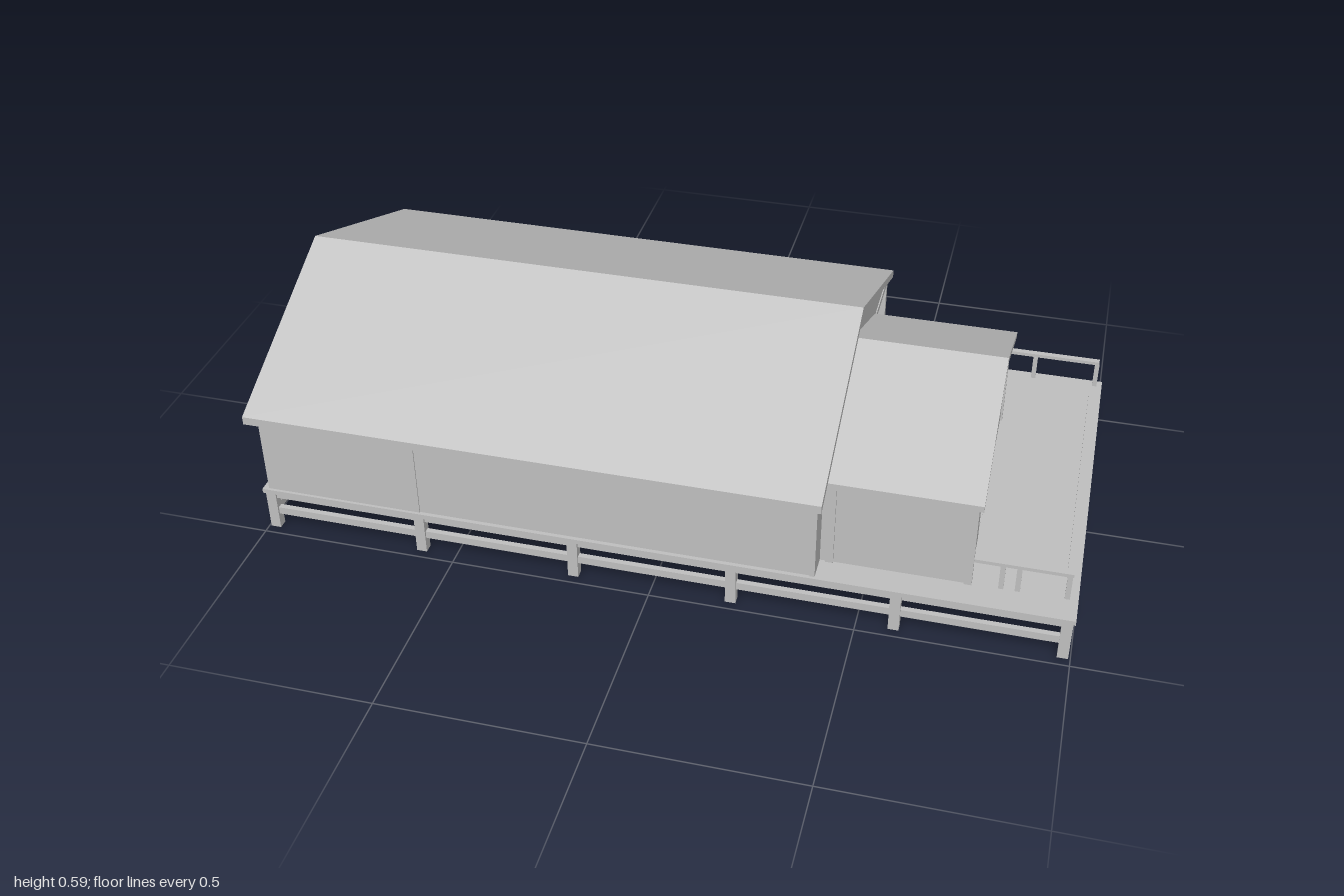
import * as THREE from 'three';

export function createModel() {
  const model = new THREE.Group();
  model.name = 'stiltHouse';
  const grey = new THREE.MeshStandardMaterial({ color: 0xc0c0c0, side: THREE.DoubleSide, flatShading: true });
  grey.name = 'plain grey';

  const add = (name, geometry, parent) => {
    const mesh = new THREE.Mesh(geometry, grey);
    mesh.name = name;
    parent.add(mesh);
    return mesh;
  };
  const group = (name) => {
    const g = new THREE.Group();
    g.name = name;
    model.add(g);
    return g;
  };
  // Box given by its minimum and maximum on each axis
  const box = (name, x0, x1, y0, y1, z0, z1, parent) =>
    add(name, new THREE.BoxGeometry(x1 - x0, y1 - y0, z1 - z0)
      .translate((x0 + x1) / 2, (y0 + y1) / 2, (z0 + z1) / 2), parent);
  const shapeOf = (pts, holes) => {
    const shape = new THREE.Shape(pts.map(([a, b]) => new THREE.Vector2(a, b)));
    for (const [a0, a1, b0, b1] of holes) {
      shape.holes.push(new THREE.Path([[a0, b0], [a0, b1], [a1, b1], [a1, b0]].map(([a, b]) => new THREE.Vector2(a, b))));
    }
    return shape;
  };
  // Section in (z, y) swept along x
  const sweepX = (name, pts, x0, x1, parent, holes = []) => {
    const shape = shapeOf(pts.map(([z, y]) => [-z, y]), holes.map(([a, b, c, d]) => [-b, -a, c, d]));
    const geo = new THREE.ExtrudeGeometry(shape, { depth: x1 - x0, bevelEnabled: false });
    return add(name, geo.rotateY(Math.PI / 2).translate(x0, 0, 0), parent);
  };
  // Wall in the x-y plane with openings
  const wallZ = (name, x0, x1, y0, y1, z0, z1, parent, holes = []) => {
    const shape = shapeOf([[x0, y0], [x1, y0], [x1, y1], [x0, y1]], holes);
    const geo = new THREE.ExtrudeGeometry(shape, { depth: z1 - z0, bevelEnabled: false });
    return add(name, geo.translate(0, 0, z0), parent);
  };
  const roof = (name, [zf, yf], [zr, yr], [zb, yb], t, x0, x1, parent) =>
    sweepX(name, [[zf, yf], [zr, yr], [zb, yb], [zb, yb - t], [zr, yr - t], [zf, yf - t]], x0, x1, parent);

  const FLOOR = 0.12;

  // Deck, rim beams and stilts
  const base = group('deckAndStilts');
  box('deckFloor', -1, 1, 0.108, FLOOR, -0.508, 0.482, base);
  const bands = [['rimBeam', 0.09, 0.108], ['lowerBrace', 0.04, 0.06]];
  for (const [name, y0, y1] of bands) {
    for (const z of [0.465, -0.485]) box(name, -0.985, 0.985, y0, y1, z - 0.007, z + 0.007, base);
    for (const x of [-0.982, 0.982]) box(name, x - 0.007, x + 0.007, y0, y1, -0.485, 0.465, base);
  }
  const stilt = (x, z) => box('stilt', x - 0.013, x + 0.013, 0, 0.108, z - 0.012, z + 0.012, base);
  for (let i = 0; i < 6; i++) {
    for (const z of [0.465, -0.485]) stilt(-0.982 + i * 0.3928, z);
  }
  for (const x of [-0.982, 0.982]) for (const z of [0.313, -0.01, -0.332]) stilt(x, z);

  // Main house
  const house = group('mainHouse');
  const t = 0.012;
  box('frontWallLeft', -0.98, -0.585, FLOOR, 0.36, 0.463, 0.475, house);
  box('frontWallRight', -0.585, 0.39, FLOOR, 0.36, 0.46, 0.472, house);
  wallZ('porchWall', -0.98, 0.39, FLOOR, 0.44, -0.334, -0.322, house, [
    [0.15, 0.26, 0.21, 0.32], [-0.4, -0.3, 0.21, 0.32], [-0.7, -0.6, 0.21, 0.32],
    [-0.21, -0.11, 0.121, 0.32],
  ]);
  box('porchDoor', -0.05, 0.05, FLOOR, 0.32, -0.338, -0.334, house);
  // Gable ends, carried out over the porch
  const gable = [[0.475, FLOOR], [0.475, 0.355], [0.03, 0.572], [-0.49, 0.368],
    [-0.49, 0.352], [-0.334, 0.352], [-0.334, FLOOR]];
  sweepX('gableWall', gable, -0.985, -0.985 + t, house);
  sweepX('gableWall', gable, 0.385, 0.385 + t, house);
  roof('mainRoof', [0.515, 0.362], [0.03, 0.593], [-0.515, 0.382], 0.021, -1, 0.412, house);

  // Porch posts with tie beams
  const porch = group('porch');
  for (const x of [-0.982, -0.545, -0.04, 0.392]) {
    box('porchPost', x - 0.009, x + 0.009, FLOOR, 0.365, -0.492, -0.474, porch);
    box('tieBeam', x - 0.008, x + 0.008, 0.35, 0.366, -0.492, -0.322, porch);
  }
  box('eaveBeam', -0.99, 0.4, 0.35, 0.366, -0.491, -0.475, porch);

  // Side wing with door and window openings
  const wing = group('sideWing');
  box('wingFrontWall', 0.397, 0.75, FLOOR, 0.37, 0.398, 0.41, wing);
  wallZ('wingBackWall', 0.397, 0.75, FLOOR, 0.37, -0.272, -0.26, wing, [[0.6, 0.71, 0.2, 0.32]]);
  sweepX('wingEndWall', [[0.41, FLOOR], [0.41, 0.365], [0.07, 0.517], [-0.272, 0.365], [-0.272, FLOOR]],
    0.738, 0.75, wing, [[0.12, 0.24, 0.121, 0.322], [-0.185, -0.09, 0.203, 0.318]]);
  for (const x of [0.42, 0.746]) {
    for (const z of [0.407, -0.269]) box('cornerPost', x - 0.009, x + 0.009, FLOOR, 0.365, z - 0.008, z + 0.008, wing);
  }
  roof('wingRoof', [0.44, 0.372], [0.07, 0.532], [-0.302, 0.372], 0.016, 0.397, 0.766, wing);

  // Railings
  const rails = group('railings');
  const post = (x, z) => box('railPost', x - 0.006, x + 0.006, FLOOR, 0.187, z - 0.006, z + 0.006, rails);
  const R = [0.187, 0.196];
  box('backRail', -0.99, 0.985, ...R, -0.499, -0.483, rails);
  for (let i = 0; i <= 12; i++) post(-0.982 + i * 0.1635, -0.488);
  box('endRail', 0.966, 0.982, ...R, -0.332, 0.412, rails);
  for (const z of [0.404, 0.265, 0.117, -0.029, -0.176, -0.268, -0.323]) post(0.974, z);
  box('frontRail', 0.75, 0.982, ...R, 0.398, 0.412, rails);
  for (const x of [0.822, 0.86]) post(x, 0.405);

  return model;
}
